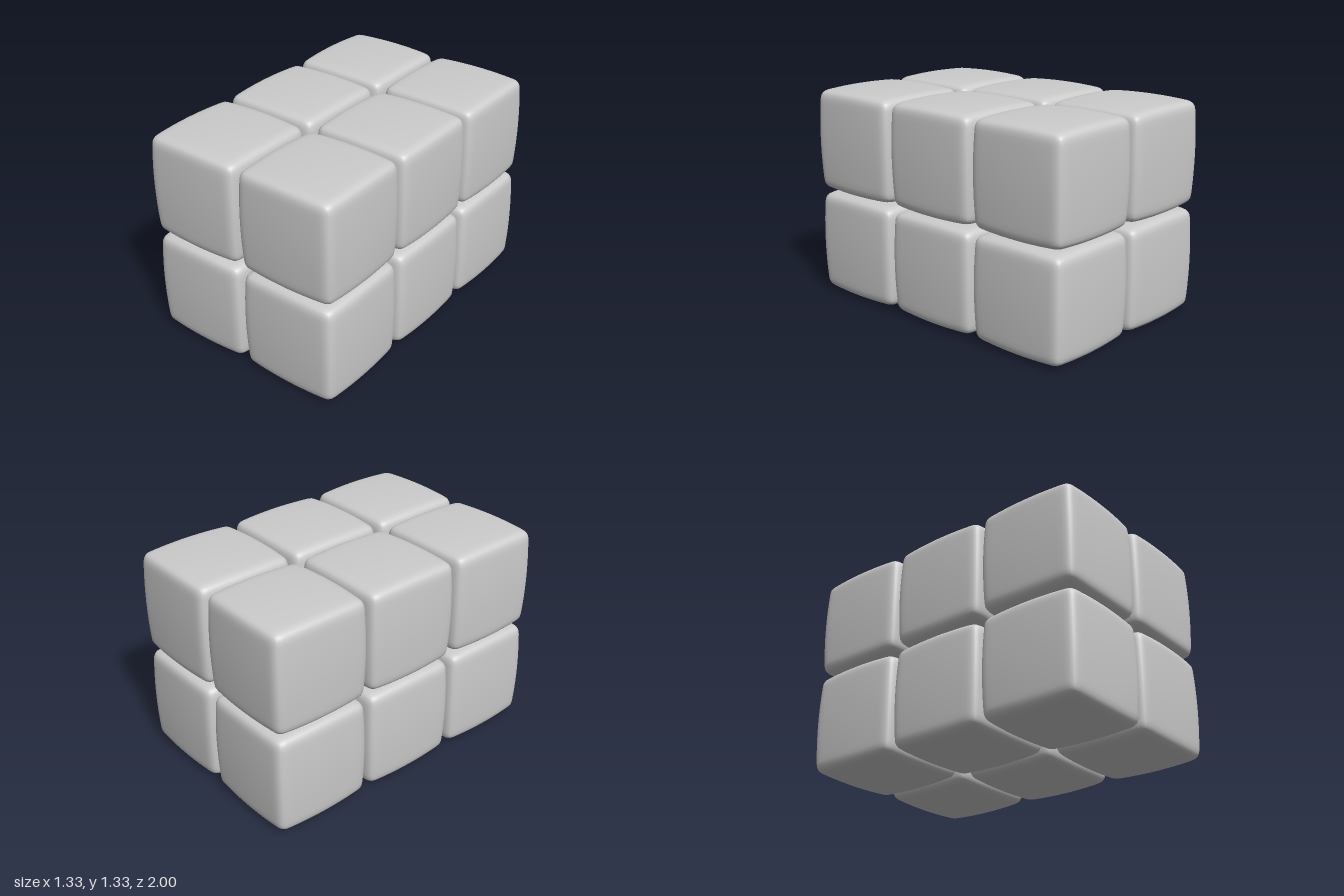
import * as THREE from 'three';
import { mergeVertices } from 'three/addons/utils/BufferGeometryUtils.js';

const CELL = 2 / 3;     // spacing of the blocks
const ROUND = 0.16;     // edge radius, relative to half a block
const BULGE = 0.035;    // how far the faces swell towards their middle

// A cube with rounded edges and softly swollen faces
function pillowCube(size) {
  const geo = new THREE.BoxGeometry(2, 2, 2, 20, 20, 20);
  geo.deleteAttribute('uv');
  geo.deleteAttribute('normal');
  const pos = geo.attributes.position;
  const p = new THREE.Vector3();
  const core = new THREE.Vector3();
  const lim = 1 - ROUND;
  for (let i = 0; i < pos.count; i++) {
    p.fromBufferAttribute(pos, i);
    // crowd the grid towards the edges
    p.set(...p.toArray().map((c) => Math.sin((c * Math.PI) / 2)));
    // round the edges around an inner core
    core.copy(p).clampScalar(-lim, lim);
    p.sub(core).setLength(ROUND).add(core);
    // swell each face
    const [a, b, c] = [p.x * p.x, p.y * p.y, p.z * p.z];
    p.set(
      p.x * (1 - BULGE * (b + c)),
      p.y * (1 - BULGE * (a + c)),
      p.z * (1 - BULGE * (a + b))
    ).multiplyScalar(size / 2);
    pos.setXYZ(i, p.x, p.y, p.z);
  }
  const merged = mergeVertices(geo, 1e-5);
  merged.computeVertexNormals();
  return merged;
}

export function createModel() {
  const model = new THREE.Group();
  model.name = 'blockStack';
  const material = new THREE.MeshStandardMaterial({ color: 0xcccccc });
  const geometry = pillowCube(CELL);

  // 2 wide, 2 high, 3 deep
  const columns = { right: -0.5, left: 0.5 };
  const layers = { lower: 0.5, upper: 1.5 };
  const rows = { Back: -1, Middle: 0, Front: 1 };
  for (const [layer, y] of Object.entries(layers)) {
    const group = new THREE.Group();
    group.name = `${layer}Layer`;
    for (const [column, x] of Object.entries(columns)) {
      for (const [row, z] of Object.entries(rows)) {
        const block = new THREE.Mesh(geometry, material);
        block.name = `${column}${row}Block`;
        block.position.set(x, y, z).multiplyScalar(CELL);
        group.add(block);
      }
    }
    model.add(group);
  }
  return model;
}
